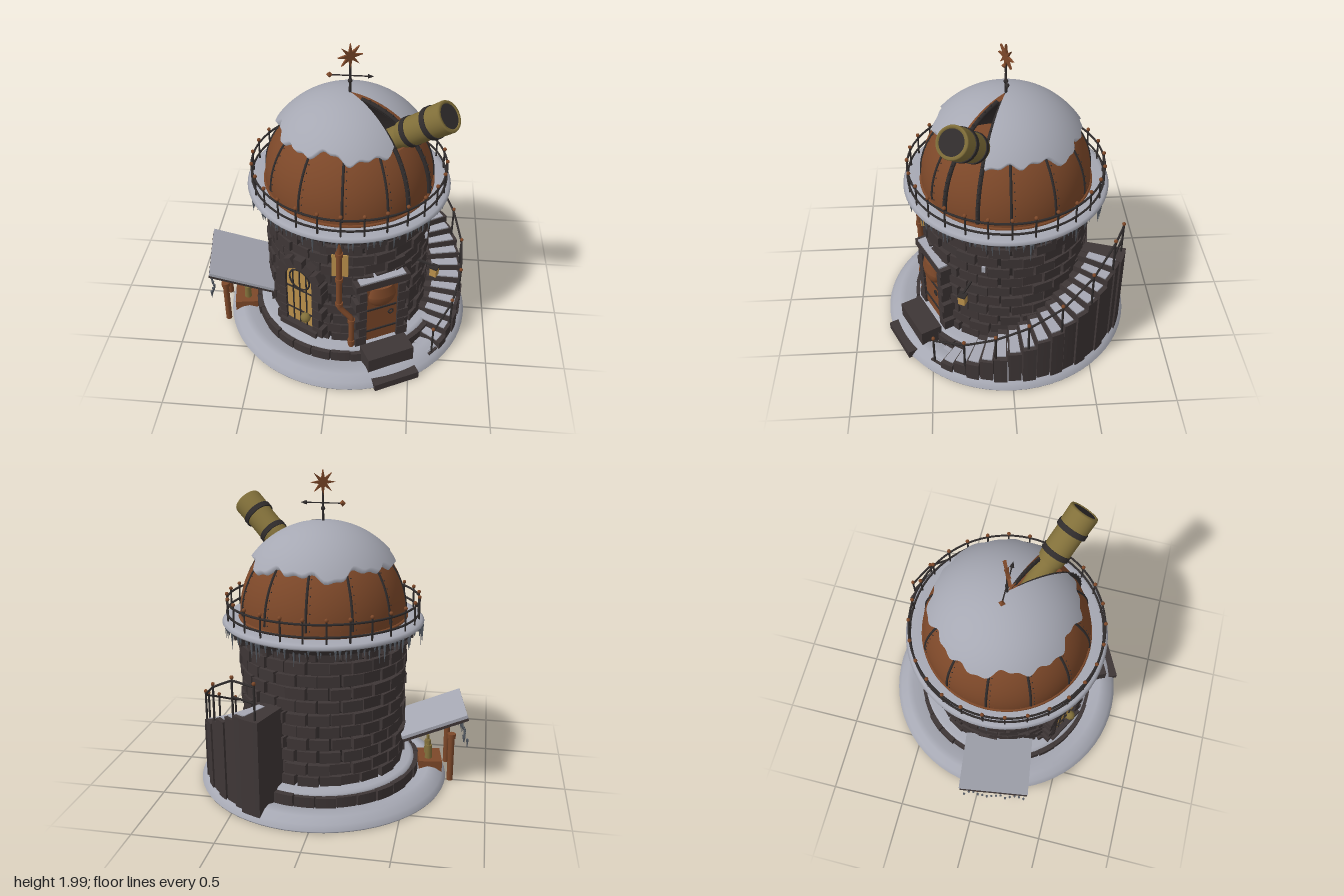
import * as THREE from 'three';
import { ParametricGeometry } from 'three/addons/geometries/ParametricGeometry.js';

const D = Math.PI / 180;
const mat = (name, color, flatShading = false) =>
  new THREE.MeshStandardMaterial({ name, color, flatShading, side: THREE.DoubleSide });

export function createModel() {
  const M = {
    stone: mat('darkStone', 0x3e3636, true),
    stoneDeep: mat('mortar', 0x2b2626),
    snow: mat('snow', 0xa6a8b3),
    copper: mat('copper', 0x7d4829),
    brass: mat('brass', 0x82703a),
    iron: mat('iron', 0x302c2c),
    glow: mat('windowGlow', 0xb98f4a),
    ice: mat('ice', 0x555b63),
  };
  const model = new THREE.Group();
  model.name = 'observatory';
  const tower = new THREE.Group();
  tower.name = 'tower';
  tower.position.x = 0.065;
  model.add(tower);

  let seed = 7;
  const rnd = () => (seed = (seed * 16807) % 2147483647) / 2147483647;
  const group = (name, parent = tower) => {
    const g = new THREE.Group();
    g.name = name;
    parent.add(g);
    return g;
  };
  const add = (parent, name, geo, m, x = 0, y = 0, z = 0) => {
    const mesh = new THREE.Mesh(geo, m);
    mesh.name = name;
    mesh.position.set(x, y, z);
    parent.add(mesh);
    return mesh;
  };
  const box = (w, h, d) => new THREE.BoxGeometry(w, h, d);
  const cyl = (a, b, h, n = 12) => new THREE.CylinderGeometry(a, b, h, n);
  const ball = (r) => new THREE.SphereGeometry(r, 10, 8);
  const lathe = (pts, n = 64) => new THREE.LatheGeometry(pts.map((p) => new THREE.Vector2(...p)), n);
  const spike = (len) => new THREE.ConeGeometry(0.009, len, 5).rotateX(Math.PI);
  // Point at an angle (degrees from the front towards +x) around the tower
  const at = (az, r, y) => new THREE.Vector3(Math.sin(az * D) * r, y, Math.cos(az * D) * r);
  // Group facing outwards from the tower axis; its z is the radius
  const facing = (name, az, parent = tower) => {
    const g = group(name, parent);
    g.rotation.y = az * D;
    return g;
  };
  // Wedge-shaped slab between two radii, centred on +z
  const sector = (r0, r1, deg, h) => {
    const a = (deg * D) / 2, c = -Math.PI / 2, s = new THREE.Shape();
    s.absarc(0, 0, r1, c - a, c + a, false);
    s.absarc(0, 0, r0, c + a, c - a, true);
    return new THREE.ExtrudeGeometry(s, { depth: h, bevelEnabled: false, curveSegments: 4 }).rotateX(-Math.PI / 2);
  };
  const tube = (pts, r, n = 40) =>
    new THREE.TubeGeometry(new THREE.CatmullRomCurve3(pts, false, 'catmullrom', 0.1), n, r, 8);

  // Snowy ground and plinth
  add(tower, 'groundSnow', lathe([[0.61, 0.02], [0.8, 0.015], [0.805, 0.025], [0.78, 0.055], [0.735, 0.085], [0.69, 0.095], [0.6, 0.065]]), M.snow);
  add(tower, 'floor', cyl(0.625, 0.625, 0.015, 48), M.stoneDeep, 0, 0.025);
  const plinth = group('plinth');
  for (let i = 0; i < 30; i++) {
    const g = facing('plinthStone', i * 12, plinth);
    add(g, 'block', sector(0.5, 0.615 + rnd() * 0.015, 11.2, 0.115 + rnd() * 0.01), M.stone, 0, 0.02);
  }
  add(tower, 'plinthSnow', lathe([[0.5, 0.165], [0.57, 0.16], [0.592, 0.15], [0.594, 0.136]]), M.snow);

  // Masonry wall, courses offset by half a block
  add(tower, 'wallCore', cyl(0.49, 0.49, 0.92, 48), M.stoneDeep, 0, 0.59);
  const wall = group('wallStones');
  for (let row = 0; row < 11; row++)
    for (let i = 0; i < 24; i++) {
      const g = facing('wallStone', i * 15 + (row % 2) * 7.5 + (rnd() - 0.5) * 1.5, wall);
      add(g, 'block', box(0.116 + rnd() * 0.014, 0.068, 0.05), M.stone, 0, 0.19 + row * 0.0805, 0.488 + rnd() * 0.02);
    }
  add(facing('wallSnow', 72), 'snowClump', box(0.022, 0.04, 0.03), M.snow, 0, 0.78, 0.52);

  // Balcony with corbels, snow, icicles and railing
  const balcony = group('balcony');
  add(balcony, 'slab', cyl(0.615, 0.59, 0.035, 64), M.stone, 0, 1.045);
  add(balcony, 'balconySnow', lathe([[0.5, 1.1], [0.59, 1.1], [0.62, 1.092], [0.634, 1.076], [0.622, 1.062]]), M.snow);
  for (let i = 0; i < 28; i++) {
    const g = facing('railPost', (i * 360) / 28, balcony);
    add(g, 'corbel', box(0.032, 0.055, 0.08), M.stone, 0, 1.003, 0.53);
    add(g, 'post', cyl(0.006, 0.006, 0.15, 6), M.iron, 0, 1.155, 0.602);
    add(g, 'knob', ball(0.012), M.copper, 0, 1.235, 0.602);
  }
  for (const y of [1.21, 1.135])
    add(balcony, 'rail', new THREE.TorusGeometry(0.602, 0.007, 6, 72).rotateX(Math.PI / 2), M.iron, 0, y);
  for (let i = 0; i < 110; i++) {
    const az = i * 3.27 + rnd() * 2;
    const len = 0.03 + rnd() * 0.12 * (0.35 + 0.65 * Math.max(0, Math.sin(az * 15 * D)));
    const p = at(az, 0.59 + rnd() * 0.035, 1.06 - len / 2);
    add(balcony, 'icicle', spike(len), M.ice, p.x, p.y, p.z);
  }

  // Dome: every patch follows the same sphere
  const SLIT = 57, HALF = 12, DY = 1.135, DR = 0.52;
  const onDome = (az, th, k = 1) => at(az, DR * k * Math.sin(th * D), DY + DR * k * Math.cos(th * D));
  const patch = (a0, a1, t0, t1, k, n = 64, m = 24) =>
    new ParametricGeometry((u, v, out) => {
      const az = a0 + (a1 - a0) * u, end = typeof t1 === 'function' ? t1(az) : t1;
      out.copy(onDome(az, t0 + (end - t0) * Math.min(v / 0.97, 1), v > 0.97 ? 0.98 : k));
    }, n, m);
  const dome = group('dome');
  add(dome, 'domeShell', patch(SLIT + HALF, SLIT + 360 - HALF, 0, 90, 1), M.copper);
  add(dome, 'domeLining', patch(SLIT + HALF, SLIT + 360 - HALF, 0, 90, 0.98), M.stoneDeep);
  add(dome, 'lowerShutter', patch(SLIT - HALF, SLIT + HALF, 50, 90, 1, 8, 24), M.copper);
  add(dome, 'domeBase', cyl(0.52, 0.52, 0.06, 64), M.copper, 0, 1.115);
  add(dome, 'baseBand', new THREE.TorusGeometry(0.522, 0.01, 6, 64).rotateX(Math.PI / 2), M.copper, 0, 1.105);
  const arcPts = (az, t0, t1, k) => Array.from({ length: 12 }, (_, i) => onDome(az, t0 + ((t1 - t0) * i) / 11, k));
  for (let i = 0; i < 12; i++) {
    if (i === 2) continue;
    add(dome, 'rib', tube(arcPts(i * 30, 20, 90, 1.0), 0.008, 24), M.iron);
    for (let j = 0; j < 7; j++) {
      const p = onDome(i * 30 + 2.5, 56 + j * 5.5, 1.002);
      add(dome, 'rivet', ball(0.004), M.iron, p.x, p.y, p.z);
    }
  }
  // Heavy frames at both edges of the observing slit
  for (const s of [-1, 1]) {
    add(dome, 'slitFrame', tube(arcPts(SLIT + s * HALF, 8, 90, 1.02), 0.013, 24), M.iron);
    for (let j = 0; j < 14; j++) {
      const p = onDome(SLIT + s * HALF, 14 + j * 5.5, 1.04);
      add(dome, 'frameBolt', ball(0.008), M.iron, p.x, p.y, p.z);
    }
  }
  const drip = (az) => 53 + 2.2 * Math.sin(az * 6 * D) + 2 * Math.sin(az * 11 * D + 1) + 1.3 * Math.sin(az * 23 * D)
    - 3 * Math.cos(az * D);
  add(dome, 'snowCap', patch(SLIT + HALF + 2, SLIT + 358 - HALF, 0, drip, 1.07, 140, 34), M.snow);

  // Telescope, reaching down inside the dome
  const scopeAim = facing('telescope', SLIT + 4);
  const scope = group('telescopeTube', scopeAim);
  scope.position.set(0, 1.41, 0.215);
  scope.rotation.x = 52 * D;
  add(scope, 'barrel', lathe([[0, -0.2], [0.06, -0.2], [0.068, 0.18], [0.08, 0.2], [0.086, 0.26], [0.086, 0.4], [0.092, 0.42], [0.094, 0.54], [0.09, 0.55], [0.074, 0.55], [0.072, 0.53]], 32), M.brass);
  for (const [y, r] of [[0.26, 0.091], [0.425, 0.098]])
    add(scope, 'band', cyl(r, r, 0.034, 32), M.iron, 0, y);
  add(scope, 'lens', cyl(0.074, 0.074, 0.008, 32), M.iron, 0, 0.542);

  // Weather vane
  const vane = group('weatherVane');
  add(vane, 'pole', cyl(0.006, 0.008, 0.26, 8), M.iron, 0, 1.79);
  add(vane, 'collar', ball(0.014), M.iron, 0, 1.765);
  add(vane, 'bar', cyl(0.004, 0.004, 0.24, 6).rotateZ(Math.PI / 2), M.iron, 0, 1.798);
  add(vane, 'arrowHead', new THREE.ConeGeometry(0.014, 0.035, 8).rotateZ(-Math.PI / 2), M.iron, 0.12, 1.798);
  add(vane, 'arrowTail', new THREE.OctahedronGeometry(0.02), M.copper, -0.12, 1.798);
  const star = new THREE.Shape(Array.from({ length: 16 }, (_, i) => {
    const r = i % 2 ? 0.027 : 0.078;
    return new THREE.Vector2(r * Math.sin((i * Math.PI) / 8), r * Math.cos((i * Math.PI) / 8));
  }));
  add(vane, 'star', new THREE.ExtrudeGeometry(star, { depth: 0.014, bevelEnabled: false }).translate(0, 0, -0.007), M.copper, 0, 1.922).rotation.y = 28 * D;

  // Stone jambs shared by door and window
  const jambs = (g, w, y0, y1) => {
    for (const s of [-1, 1])
      for (let y = y0 + 0.035, i = 0; y < y1; y += 0.075, i++)
        add(g, 'jambStone', box(i % 2 ? 0.05 : 0.075, 0.068, 0.08), M.stone, s * (w / 2 + (i % 2 ? 0.025 : 0.0375)), y, 0.52);
  };
  // Door with rounded hood, lintel and steps
  const door = facing('door', 27);
  jambs(door, 0.21, 0.17, 0.62);
  add(door, 'lintel', box(0.36, 0.05, 0.09), M.stone, 0, 0.66, 0.52);
  add(door, 'lintelSnow', box(0.3, 0.012, 0.07), M.snow, 0, 0.69, 0.525);
  add(door, 'doorLeaf', box(0.21, 0.45, 0.04), M.copper, 0, 0.41, 0.525);
  for (const y of [0.27, 0.45]) add(door, 'hinge', box(0.2, 0.012, 0.009), M.iron, 0, y, 0.548);
  add(door, 'hood', new THREE.SphereGeometry(0.095, 20, 8, 0, 2 * Math.PI, Math.PI / 2, Math.PI / 2).scale(1, 1, 0.5), M.copper, 0, 0.56, 0.54);
  add(door, 'hoodTop', cyl(0.075, 0.095, 0.07, 20).scale(1, 1, 0.5), M.copper, 0, 0.595, 0.54);
  add(door, 'handle', new THREE.TorusGeometry(0.016, 0.005, 6, 12), M.iron, 0.06, 0.4, 0.555);
  add(door, 'upperStep', box(0.31, 0.12, 0.14), M.stone, 0, 0.13, 0.645);
  add(door, 'lowerStep', box(0.3, 0.05, 0.075), M.stone, 0, 0.04, 0.775);

  // Tall arched window
  const win = facing('archedWindow', -29);
  jambs(win, 0.2, 0.22, 0.64);
  for (let i = 0; i < 7; i++) {
    const a = (i * Math.PI) / 6;
    add(win, 'archStone', box(0.07, 0.06, 0.08), M.stone, Math.cos(a) * 0.135, 0.62 + Math.sin(a) * 0.135, 0.52).rotation.z = a;
  }
  const arch = new THREE.Shape();
  arch.moveTo(-0.1, 0).lineTo(0.1, 0).lineTo(0.1, 0.36);
  arch.absarc(0, 0.36, 0.1, 0, Math.PI, false);
  add(win, 'pane', new THREE.ExtrudeGeometry(arch, { depth: 0.04, bevelEnabled: false }), M.glow, 0, 0.26, 0.502);
  for (const x of [-0.05, 0, 0.05]) add(win, 'muntin', box(0.006, 0.43, 0.008), M.iron, x, 0.475, 0.546);
  for (const y of [0.36, 0.54]) add(win, 'crossBar', box(0.2, 0.007, 0.008), M.iron, 0, y, 0.546);
  add(win, 'roundBar', new THREE.TorusGeometry(0.075, 0.006, 6, 28), M.iron, 0, 0.625, 0.546);
  add(win, 'sill', box(0.28, 0.04, 0.1), M.stone, 0, 0.235, 0.53);
  add(win, 'lampBowl', ball(0.034), M.brass, 0.05, 0.34, 0.56);

  // Small upper window and drain pipe
  const upper = facing('upperWindow', -1);
  add(upper, 'pane', box(0.1, 0.165, 0.04), M.glow, 0, 0.82, 0.525);
  add(upper, 'lintel', box(0.16, 0.05, 0.07), M.stone, 0, 0.93, 0.505);
  const pipe = group('drainPipe');
  const bends = [[-0.012, 1.03], [-0.012, 0.5], [0.065, 0.4], [0.065, 0.16]].map(([x, y]) => new THREE.Vector3(x, y, 0.557));
  add(pipe, 'pipe', tube(bends, 0.018, 60), M.copper);
  for (const [x, y] of [[-0.012, 0.92], [-0.012, 0.72], [-0.012, 0.52], [0.065, 0.38], [0.065, 0.2]])
    add(pipe, 'clamp', cyl(0.024, 0.024, 0.025), M.copper, x, y, 0.557);

  // Wall lantern
  const lantern = facing('lantern', 62.5);
  add(lantern, 'bracket', box(0.012, 0.012, 0.12), M.iron, 0, 0.64, 0.57);
  add(lantern, 'lamp', box(0.044, 0.06, 0.044), M.glow, 0, 0.6, 0.635);
  add(lantern, 'lampCap', box(0.05, 0.01, 0.05), M.iron, 0, 0.634, 0.635);

  // Curved outside stair
  const stair = group('stair'), N = 16;
  for (let i = 0; i < N; i++) {
    const g = facing('step', 51 + i * 6.65, stair), y = 0.075 + (i * 0.575) / (N - 1);
    add(g, 'stepBlock', sector(0.49, 0.765 + (i % 2) * 0.008, 6.1, y - 0.02), M.stone, 0, 0.02);
    add(g, 'stepSnow', sector(0.57, 0.745, 4.9, 0.009), M.snow, 0, y);
  }
  const landing = facing('landing', 157.5, stair);
  add(landing, 'landingBlock', sector(0.49, 0.785, 10, 0.635), M.stone, 0, 0.02);
  const posts = [[50, 0.05], [67, 0.13], [82, 0.225], [97, 0.315], [113, 0.41], [130, 0.54], [147, 0.65], [160, 0.65]];
  for (const [az, y] of posts) {
    const p = at(az, 0.758, y);
    add(stair, 'stairPost', cyl(0.007, 0.007, 0.23, 6), M.iron, p.x, y + 0.11, p.z);
    add(stair, 'stairKnob', ball(0.012), M.copper, p.x, y + 0.23, p.z);
  }
  for (const h of [0.21, 0.11])
    add(stair, 'handrail', tube((h > 0.2 ? posts : posts.slice(6)).map(([az, y]) => at(az, 0.758, y + h)), 0.007, 60), M.iron);

  // Lean-to awning with posts, bench and bottles
  const awning = facing('awning', -81.5);
  const roof = group('awningRoof', awning);
  roof.position.set(0, 0.41, 0.713);
  roof.rotation.x = -0.36;
  add(roof, 'roofBoard', box(0.445, 0.022, 0.43), M.stone);
  add(roof, 'roofSnow', box(0.455, 0.02, 0.435), M.snow, 0, 0.02);
  for (const s of [-1, 1]) {
    add(awning, 'awningPost', cyl(0.02, 0.02, 0.32), M.copper, s * 0.13, 0.18, 0.825);
    add(awning, 'postCap', cyl(0.027, 0.027, 0.03), M.copper, s * 0.13, 0.33, 0.825);
    add(awning, 'bottle', cyl(0.02, 0.024, 0.09), M.brass, s * 0.04, 0.175, 0.69);
    add(awning, 'bottleNeck', cyl(0.01, 0.01, 0.04), M.brass, s * 0.04, 0.235, 0.69);
  }
  add(awning, 'bench', box(0.2, 0.1, 0.15), M.copper, 0, 0.08, 0.7);
  for (let i = 0; i < 14; i++) {
    const len = 0.025 + rnd() * 0.05;
    add(awning, 'awningIcicle', spike(len), M.ice, -0.2 + i * 0.031, 0.34 - len / 2, 0.895 + rnd() * 0.025);
  }
  return model;
}
